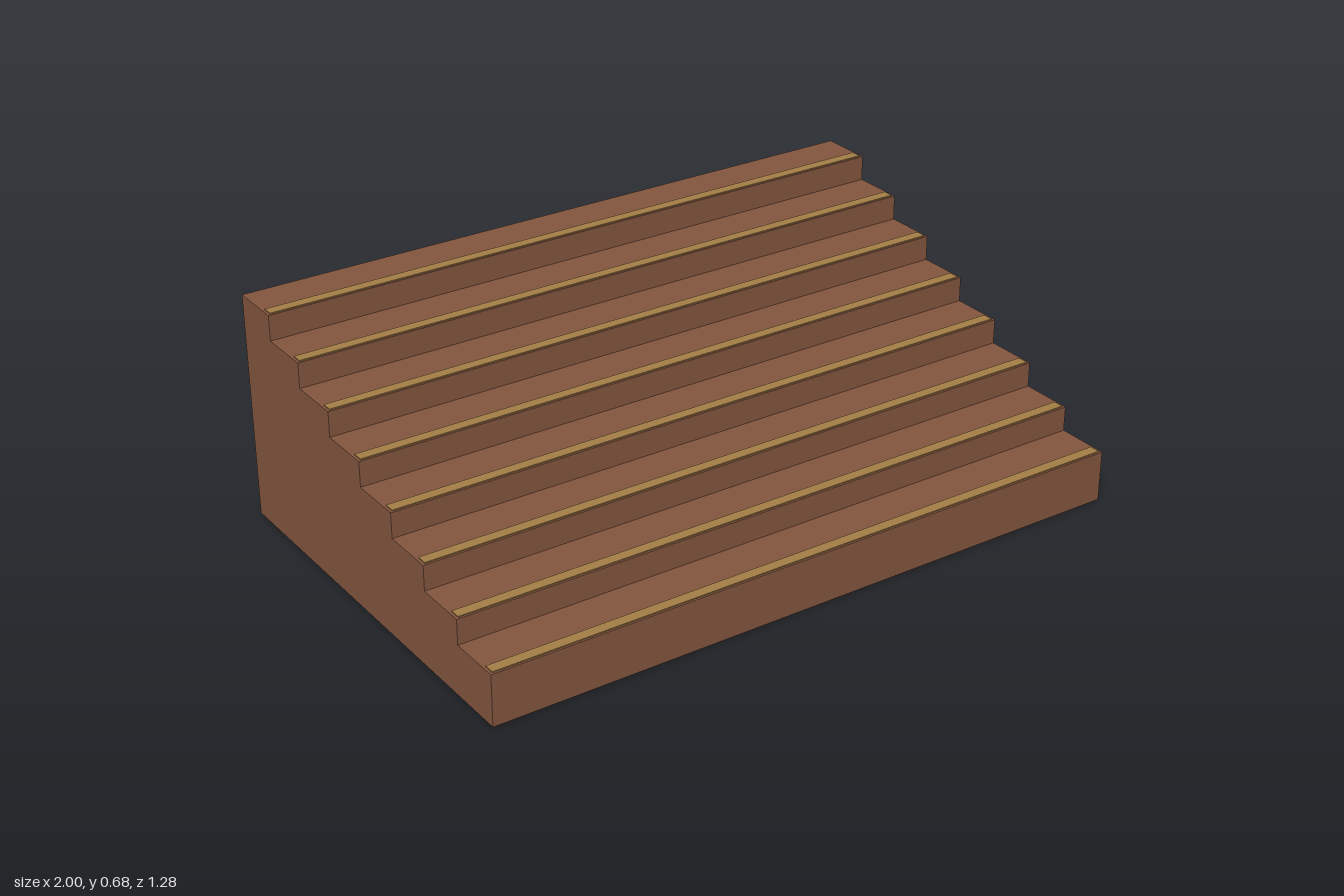
import * as THREE from 'three';

const STEPS = 8, WIDTH = 2, TREAD = 0.16, RISE = 0.075, FIRST = 0.153;
const FRONT = STEPS * TREAD / 2;
const stepTop = (i) => FIRST + i * RISE;

export function createModel() {
  const brown = new THREE.MeshStandardMaterial({ color: 0x855640 });
  brown.name = 'brown';
  const brass = new THREE.MeshStandardMaterial({ color: 0xa58046 });
  brass.name = 'brass';

  const group = new THREE.Group();
  group.name = 'staircase';

  // Solid stepped body: side profile (z, y) extruded across the width
  const profile = new THREE.Shape();
  profile.moveTo(-FRONT, 0);
  profile.lineTo(FRONT, 0);
  for (let i = 0; i < STEPS; i++) {
    profile.lineTo(FRONT - i * TREAD, stepTop(i));
    profile.lineTo(FRONT - (i + 1) * TREAD, stepTop(i));
  }
  const bodyGeometry = new THREE.ExtrudeGeometry(profile, { depth: WIDTH, bevelEnabled: false });
  bodyGeometry.rotateY(-Math.PI / 2).translate(WIDTH / 2, 0, 0);
  const body = new THREE.Mesh(bodyGeometry, brown);
  body.name = 'steps';
  group.add(body);

  // Thin edging strip near the front of every tread
  const stripGeometry = new THREE.BoxGeometry(WIDTH - 0.016, 0.004, 0.032);
  for (let i = 0; i < STEPS; i++) {
    const strip = new THREE.Mesh(stripGeometry, brass);
    strip.name = `edgingStrip${i + 1}`;
    strip.position.set(0, stepTop(i) + 0.001, FRONT - i * TREAD - 0.022);
    group.add(strip);
  }
  return group;
}
